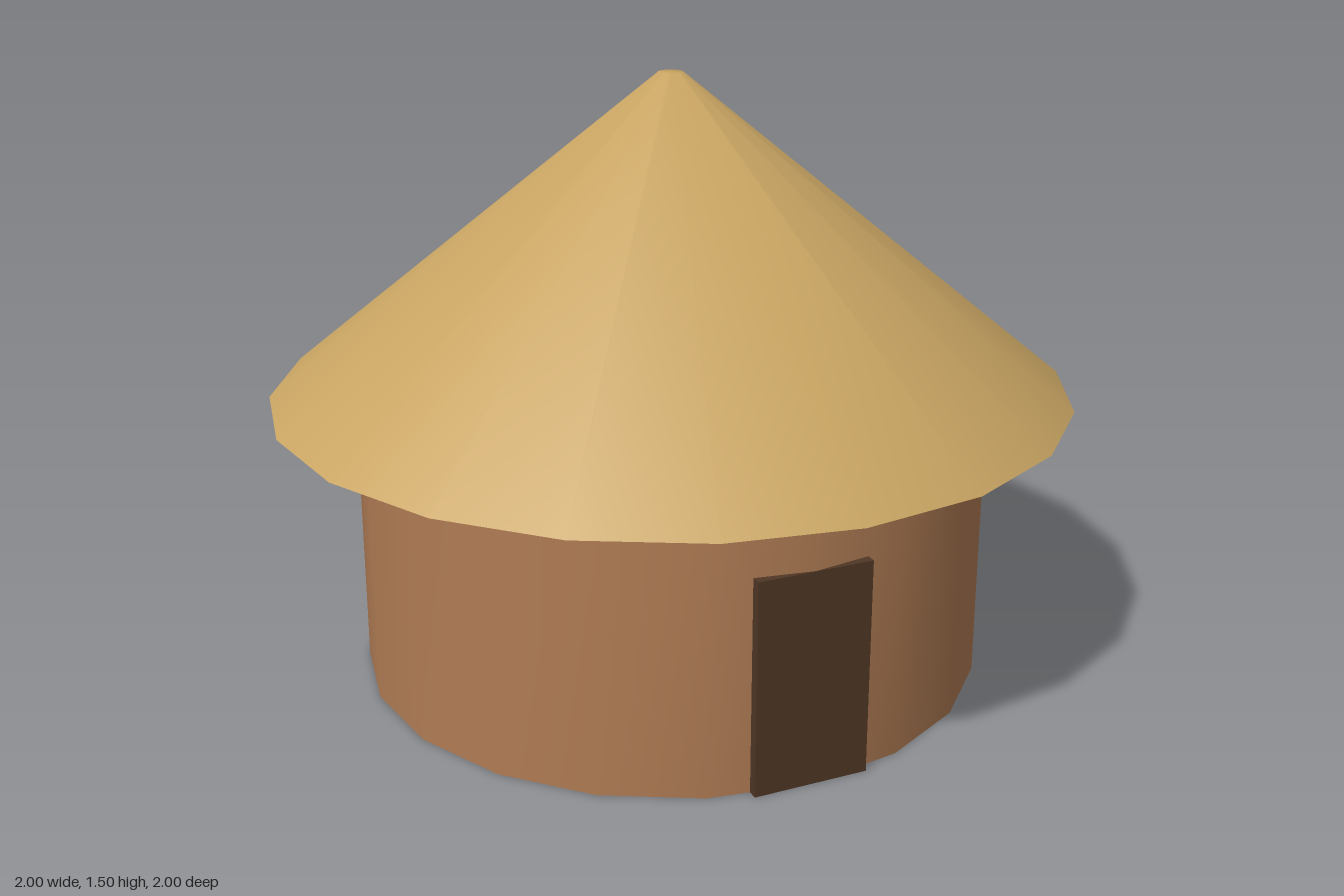
import * as THREE from 'three';
import { toCreasedNormals } from 'three/addons/utils/BufferGeometryUtils.js';

const SIDES = 20;
const WALL_HEIGHT = 0.715;
const ROOF_HEIGHT = 0.79;

function material(name, color) {
  const m = new THREE.MeshStandardMaterial({ color });
  m.name = name;
  return m;
}

export function createModel() {
  const hut = new THREE.Group();
  hut.name = 'roundHut';

  const add = (name, geometry, mat, y, z = 0) => {
    const mesh = new THREE.Mesh(geometry, mat);
    mesh.name = name;
    mesh.position.set(0, y, z);
    hut.add(mesh);
  };

  // Drum with smooth sides and sharp rims
  const drum = (top, bottom, height) =>
    toCreasedNormals(new THREE.CylinderGeometry(top, bottom, height, SIDES), Math.PI / 4);

  // Round mud wall
  add('wall', drum(0.79, 0.79, WALL_HEIGHT), material('clay', 0xb07c54), WALL_HEIGHT / 2);

  // Overhanging conical roof with a tiny blunt tip
  add('roof', drum(0.03, 1, ROOF_HEIGHT), material('thatch', 0xc8a462), WALL_HEIGHT + ROOF_HEIGHT / 2);

  // Door slab set into the front of the wall
  add('door', new THREE.BoxGeometry(0.285, 0.53, 0.06), material('darkWood', 0x4f3725), 0.265, 0.762);

  return hut;
}
